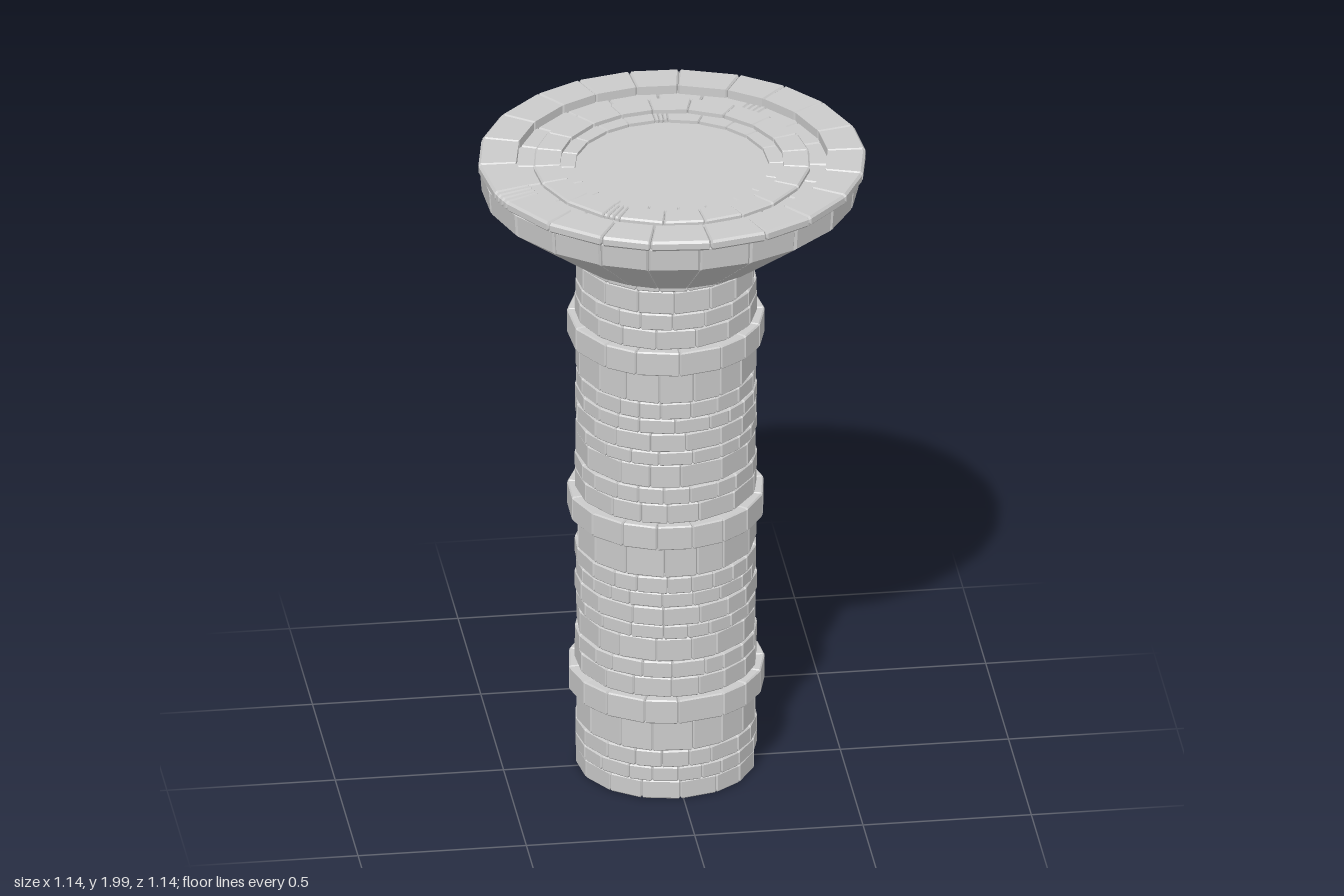
import * as THREE from 'three';
import { mergeGeometries } from 'three/addons/utils/BufferGeometryUtils.js';

const stone = new THREE.MeshStandardMaterial({ color: 0xcccccc, flatShading: true });

// Small seeded generator for irregular stone lengths
let seed = 7;
const rand = () => (seed = (seed * 16807) % 2147483647) / 2147483647;

// Counter-clockwise (radius, height) section with chamfered outer corners
const slab = (r0, r1, y0, y1, b = 0.005) => [
  [r0, y0], [r1 - b, y0], [r1, y0 + b], [r1, y1 - b], [r1 - b, y1], [r0, y1],
];

// One stone: a section swept straight from angle a0 to a1, with bevelled ends
function stoneGeometry(section, a0, a1, bevel) {
  const n = section.length;
  const rMax = Math.max(...section.map((p) => p[0]));
  const cr = section.reduce((s, p) => s + p[0], 0) / n;
  const cy = section.reduce((s, p) => s + p[1], 0) / n;
  const da = Math.min(bevel / rMax, (a1 - a0) / 4);
  const loop = (a, inset) => section.map(([r, y]) => {
    const rr = r + Math.sign(cr - r) * inset;
    const yy = y + Math.sign(cy - y) * inset;
    return [rr * Math.cos(a), yy, rr * Math.sin(a)];
  });
  const loops = [loop(a0, bevel), loop(a0 + da, 0), loop(a1 - da, 0), loop(a1, bevel)];
  const pos = [];
  const tri = (a, b, c) => pos.push(...a, ...b, ...c);
  for (let k = 0; k < 3; k++) {
    for (let i = 0; i < n; i++) {
      const j = (i + 1) % n;
      const A = loops[k], B = loops[k + 1];
      tri(A[i], A[j], B[j]);
      tri(A[i], B[j], B[i]);
    }
  }
  for (let i = 1; i < n - 1; i++) {
    tri(loops[3][0], loops[3][i], loops[3][i + 1]);
    tri(loops[0][0], loops[0][i + 1], loops[0][i]);
  }
  const g = new THREE.BufferGeometry();
  g.setAttribute('position', new THREE.Float32BufferAttribute(pos, 3));
  g.computeVertexNormals();
  return g;
}

// A closed ring of stones; slivers are narrow filler stones at the start angle
function stoneRing(name, section, count, { start = 0, slivers = 0, bevel = 0.004, vary = 0.25 } = {}) {
  const lengths = [];
  for (let i = 0; i < slivers; i++) lengths.push(0.14);
  for (let i = 0; i < count; i++) lengths.push(1 + (rand() - 0.5) * vary);
  const total = lengths.reduce((s, l) => s + l, 0);
  const parts = [];
  let a = start;
  for (const l of lengths) {
    const next = a + (l / total) * Math.PI * 2;
    parts.push(stoneGeometry(section, a + 0.0015, next - 0.0015, bevel));
    a = next;
  }
  const mesh = new THREE.Mesh(mergeGeometries(parts), stone);
  mesh.name = name;
  return mesh;
}

export function createModel() {
  const model = new THREE.Group();
  model.name = 'stoneColumn';
  const deg = Math.PI / 180;

  // Hollow shaft: a repeating pattern of courses, each starting with a projecting band
  const shaft = new THREE.Group();
  shaft.name = 'shaft';
  shaft.position.set(-0.017, 0, -0.005);
  const period = 0.572;
  const steps = [0, 0.077, 0.14, 0.193, 0.267, 0.312, 0.371, 0.418, 0.471, 0.558, period];
  const firstBand = 0.27;
  for (let p = -1; p < 3; p++) {
    for (let i = 0; i < 9; i++) {
      const y0 = Math.max(0, firstBand + p * period + steps[i]);
      const y1 = firstBand + p * period + (i === 8 ? period - 0.003 : steps[i + 1]);
      if (y1 < 0.03 || y1 > 1.93) continue;
      const band = i === 0;
      const radius = band ? 0.291 : 0.267 + (rand() - 0.5) * 0.004;
      const count = band || y1 - y0 > 0.055 ? 16 : 20;
      shaft.add(stoneRing(band ? 'bandCourse' : 'shaftCourse',
        slab(0.185, radius, y0, y1, 0.004), count, { start: rand() * 6, vary: 0.5 }));
    }
  }
  model.add(shaft);

  // Flared capital of long wedge stones
  const flare = stoneRing('flaredCapital', [
    [0.24, 1.72], [0.315, 1.72], [0.555, 1.9], [0.56, 1.968], [0.555, 1.973], [0.395, 1.973],
  ], 21, { start: -52 * deg, slivers: 3, bevel: 0.006 });
  flare.position.x = -0.006;
  model.add(flare);

  // Rim stones around the top
  model.add(stoneRing('outerRim', slab(0.46, 0.572, 1.968, 2.0, 0.007), 21,
    { start: 156 * deg, slivers: 3, bevel: 0.005 }));

  // Stepped inner rings
  model.add(stoneRing('innerRim', slab(0.33, 0.409, 1.955, 1.987, 0.005), 20,
    { start: 120 * deg, slivers: 3 }));
  model.add(stoneRing('innerLedge', slab(0.286, 0.4, 1.9, 1.975, 0.005), 20,
    { start: -92 * deg, slivers: 3 }));

  // Floor slab closing the top
  const floor = new THREE.Mesh(new THREE.CylinderGeometry(0.3, 0.3, 0.035, 40), stone);
  floor.name = 'topFloor';
  floor.position.y = 1.9475;
  model.add(floor);

  return model;
}
